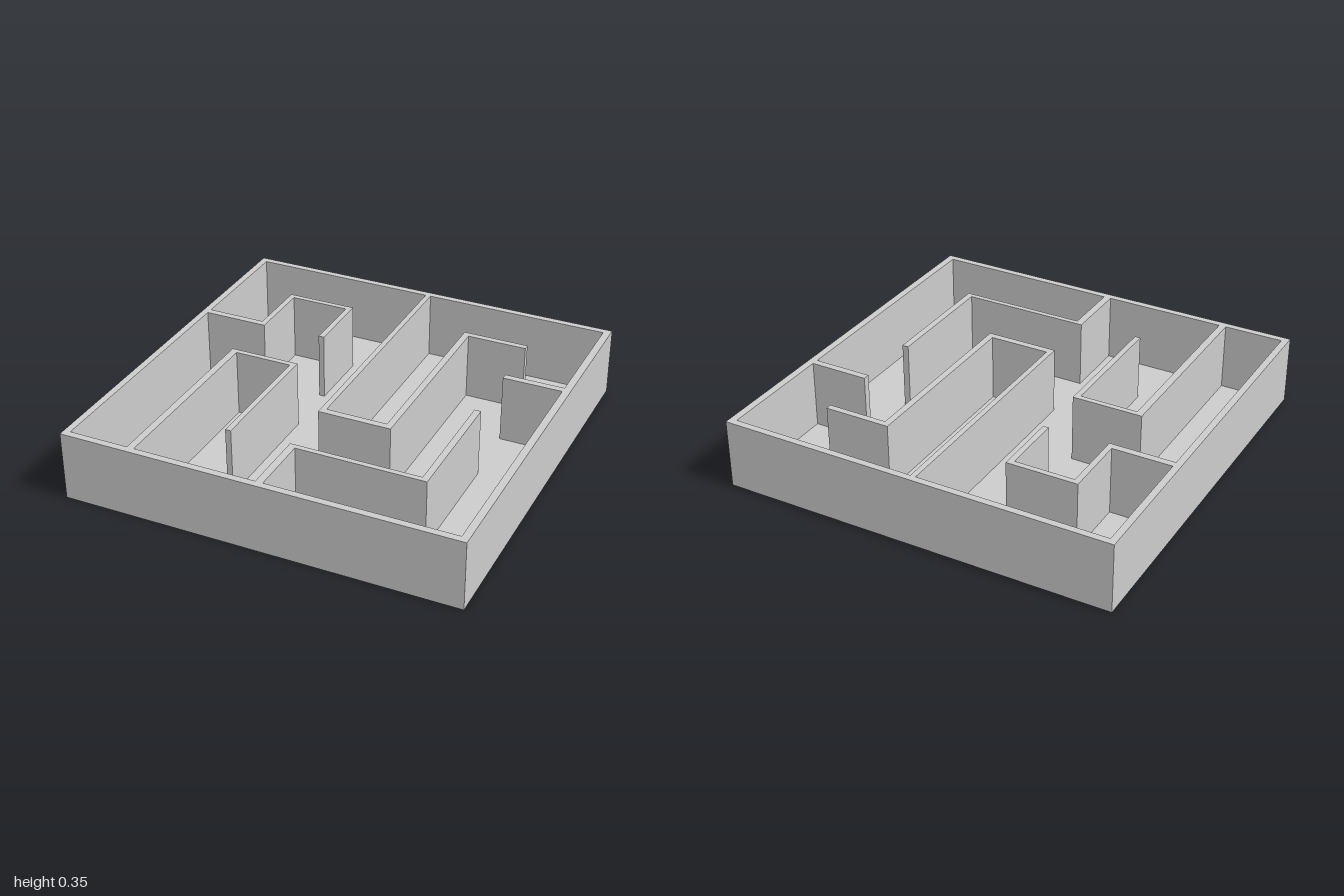
import * as THREE from 'three';

const HEIGHT = 0.35;
const FLOOR = 0.004;
const material = new THREE.MeshStandardMaterial({ color: 0xcccccc, flatShading: true });

// Plan points are [x, z]; the extrusion rises along y.
const toPoints = (plan) => plan.map(([x, z]) => new THREE.Vector2(x, -z));
const rect = (x0, z0, x1, z1) => [[x0, z0], [x1, z0], [x1, z1], [x0, z1]];

function rise(name, plan, y0, y1, hole) {
  const shape = new THREE.Shape(toPoints(plan));
  // The hole runs against the outline so that its sides face inward.
  if (hole) shape.holes.push(new THREE.Path(toPoints(hole).reverse()));
  const geometry = new THREE.ExtrudeGeometry(shape, { depth: y1 - y0, bevelEnabled: false });
  geometry.rotateX(-Math.PI / 2).translate(0, y0, 0);
  const mesh = new THREE.Mesh(geometry, material);
  mesh.name = name;
  return mesh;
}

export function createModel() {
  const group = new THREE.Group();
  group.name = 'mazeTray';

  // Inner faces of the outer wall
  const L = -0.96, R = 0.957, B = -0.966, F = 0.965;
  const outer = rect(-0.994, -1, 0.994, 1);
  group.add(rise('floor', outer, 0, FLOOR));
  group.add(rise('outerWall', outer, FLOOR, HEIGHT, rect(L, B, R, F)));

  // Inner walls, each a bent strip outlined in plan
  const walls = {
    backRightHookWall: [
      [L, -0.346], [-0.66, -0.346], [-0.66, -0.676], [-0.301, -0.676], [-0.301, -0.326],
      [-0.33, -0.326], [-0.33, -0.648], [-0.631, -0.648], [-0.631, -0.311], [L, -0.311],
    ],
    frontRightHookWall: [
      [-0.66, F], [-0.66, -0.031], [-0.301, -0.031], [-0.301, 0.65],
      [-0.33, 0.65], [-0.33, -0.003], [-0.624, -0.003], [-0.624, F],
    ],
    centreWall: [
      [-0.014, B], [-0.014, 0.328], [0.354, 0.328], [0.354, -0.644], [0.657, -0.644],
      [0.657, -0.676], [0.321, -0.676], [0.321, 0.293], [0.013, 0.293], [0.013, B],
    ],
    shortSideWall: rect(0.657, -0.36, R, -0.325),
    frontLeftWall: [
      [-0.008, F], [-0.008, 0.629], [0.64, 0.629], [0.64, 0.006],
      [0.673, 0.006], [0.673, 0.656], [0.029, 0.656], [0.029, F],
    ],
  };
  for (const [name, plan] of Object.entries(walls)) {
    group.add(rise(name, plan, FLOOR, HEIGHT));
  }
  return group;
}
